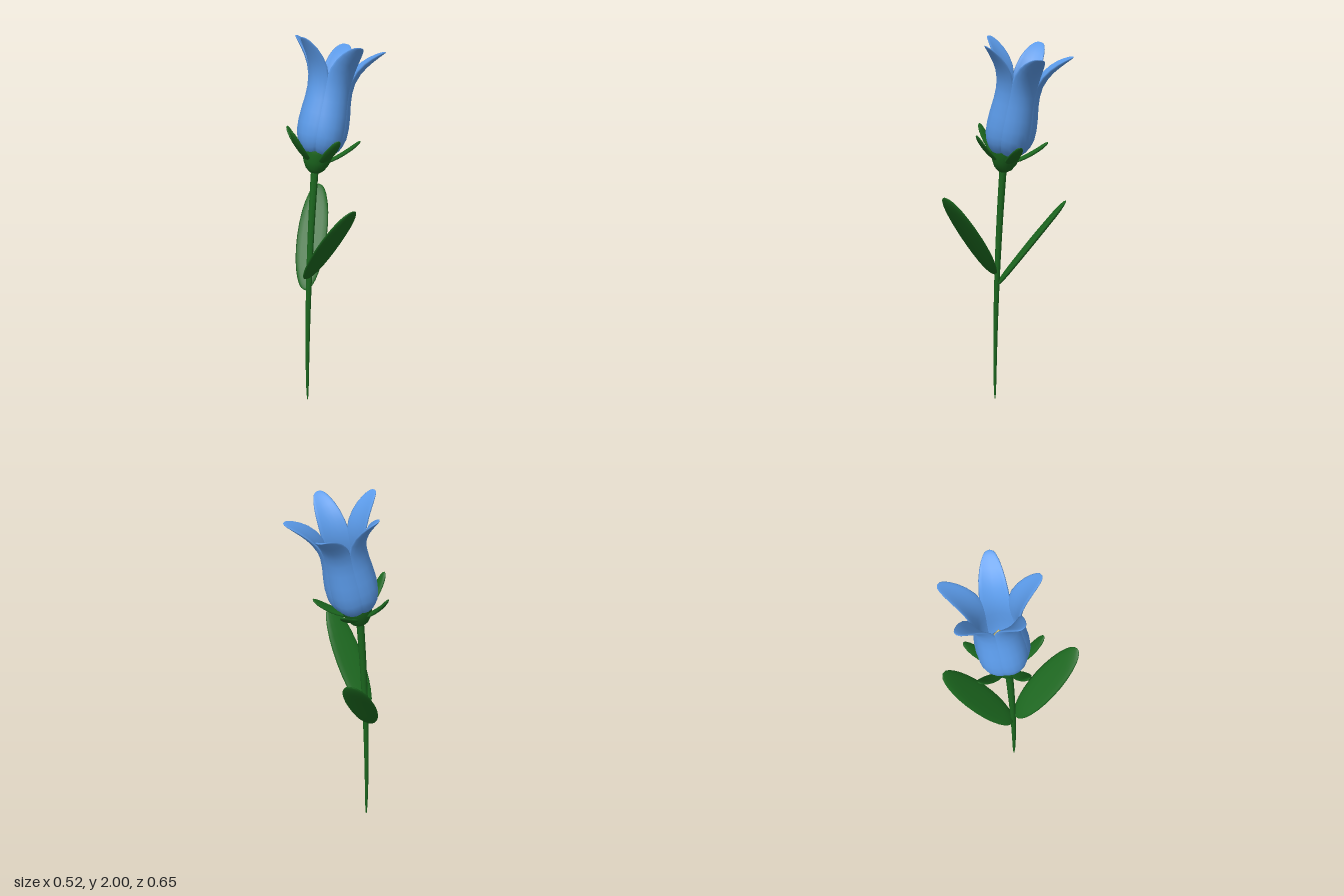
import * as THREE from 'three';
import { mergeVertices } from 'three/addons/utils/BufferGeometryUtils.js';

const mat = (color) => new THREE.MeshStandardMaterial({ color, side: THREE.DoubleSide });
const green = mat(0x1b661e), blue = mat(0x5b9bea), yellow = mat(0xd8c67a);

function part(name, geometry, material, parent) {
  const mesh = new THREE.Mesh(geometry, material);
  mesh.name = name;
  parent.add(mesh);
  return mesh;
}

// Leaf-like solid growing towards +x. Each point is [radius, height, half width];
// thick is the half thickness and cup curls the side edges inwards.
function blade(points, thick, cup, rings = 20, sides = 14) {
  const curve = new THREE.CatmullRomCurve3(points.map((p) => new THREE.Vector3(...p)));
  const maxW = Math.max(...points.map((p) => p[2]));
  const pos = [], index = [];
  for (let i = 0; i <= rings; i++) {
    const t = (1 - Math.cos((Math.PI * i) / rings)) / 2;
    const p = curve.getPoint(t), tan = curve.getTangent(t);
    const len = Math.hypot(tan.x, tan.y) || 1;
    const nx = tan.y / len, ny = -tan.x / len;
    const w = Math.max(p.z, 0), d = thick * Math.min(1, (1.5 * w) / maxW);
    for (let j = 0; j < sides; j++) {
      const a = (2 * Math.PI * j) / sides, s = w * Math.cos(a);
      const n = d * Math.sin(a) - cup * s * s;
      pos.push(p.x + nx * n, p.y + ny * n, s);
      if (i < rings) {
        const k = i * sides + j, l = i * sides + ((j + 1) % sides);
        index.push(k, l, k + sides, l, l + sides, k + sides);
      }
    }
  }
  let g = new THREE.BufferGeometry();
  g.setAttribute('position', new THREE.Float32BufferAttribute(pos, 3));
  g.setIndex(index);
  g = mergeVertices(g, 1e-5);
  g.computeVertexNormals();
  return g;
}

// Elliptical outline along a straight line, with an optional sag in the middle
function ellipsePoints(r0, h0, r1, h1, width, sag = 0) {
  const pts = [];
  for (let i = 0; i <= 10; i++) {
    const a = (Math.PI * i) / 10, t = (1 - Math.cos(a)) / 2, bend = sag * Math.sin(a) ** 2;
    pts.push([r0 + (r1 - r0) * t + bend, h0 + (h1 - h0) * t - bend, width * Math.sin(a)]);
  }
  return pts;
}

export function createModel() {
  const model = new THREE.Group();
  model.name = 'bellFlower';

  // Stem: tapered cylinder bent towards +x near the top
  const stemGeo = new THREE.CylinderGeometry(1, 1, 1.33, 12, 24);
  const sp = stemGeo.attributes.position;
  for (let i = 0; i < sp.count; i++) {
    const y = Math.max(0, sp.getY(i) + 0.665), t = y / 1.33;
    const r = 0.003 + 0.017 * Math.sqrt(t);
    sp.setXYZ(i, -0.165 + 0.065 * t * t + sp.getX(i) * r, y, -0.055 + sp.getZ(i) * r);
  }
  stemGeo.computeVertexNormals();
  part('stem', stemGeo, green, model);

  // Two leaves, one to the front and one to the back
  const leafGeo = blade(ellipsePoints(-0.19, -0.24, 0.19, 0.24, 0.082), 0.014, 0.8);
  [[-0.165, 0.96, 0.137, 90], [-0.02, 0.89, -0.188, -40]].forEach(([x, y, z, deg], i) => {
    const leaf = part(i ? 'backLeaf' : 'frontLeaf', leafGeo, green, model);
    leaf.position.set(x, y, z);
    leaf.rotation.y = -THREE.MathUtils.degToRad(deg);
  });

  // Tilted flower head
  const head = new THREE.Group();
  head.name = 'flowerHead';
  head.position.set(-0.105, 1.3, -0.055);
  head.rotation.z = -0.24;
  model.add(head);

  // Green cup beneath the petals
  const cup = [[0, -0.008], [0.025, -0.004], [0.048, 0.015], [0.067, 0.05], [0.08, 0.095],
    [0.085, 0.135], [0.078, 0.148], [0, 0.148]];
  const cupGeo = new THREE.LatheGeometry(cup.map((p) => new THREE.Vector2(...p)), 24);
  part('calyx', cupGeo, green, head);

  // Five sepals and five flaring petals at the same angles
  const sepalGeo = blade(ellipsePoints(0.045, 0.055, 0.207, 0.198, 0.032, 0.008), 0.009, 3, 14, 10);
  const petalGeo = blade([
    [0.035, 0.095, 0.0], [0.065, 0.105, 0.045], [0.1, 0.14, 0.073], [0.122, 0.2, 0.084],
    [0.12, 0.29, 0.086], [0.108, 0.39, 0.08], [0.11, 0.47, 0.073], [0.138, 0.545, 0.067],
    [0.183, 0.605, 0.054], [0.225, 0.645, 0.034], [0.243, 0.659, 0.018], [0.248, 0.663, 0],
  ], 0.012, 5, 26, 16);
  for (let i = 0; i < 5; i++) {
    const turn = -THREE.MathUtils.degToRad(32 + 72 * i);
    part('sepal', sepalGeo, green, head).rotation.y = turn;
    part('petal', petalGeo, blue, head).rotation.y = turn;
  }

  // Rounded flower centre with a pointed pistil
  const centre = part('flowerCentre', new THREE.SphereGeometry(0.088, 24, 16), blue, head);
  centre.position.y = 0.215;
  part('pistilBody', new THREE.CylinderGeometry(0.032, 0.025, 0.06, 16), yellow, head).position.y = 0.295;
  part('pistilTip', new THREE.ConeGeometry(0.032, 0.055, 16), yellow, head).position.y = 0.352;

  return model;
}
